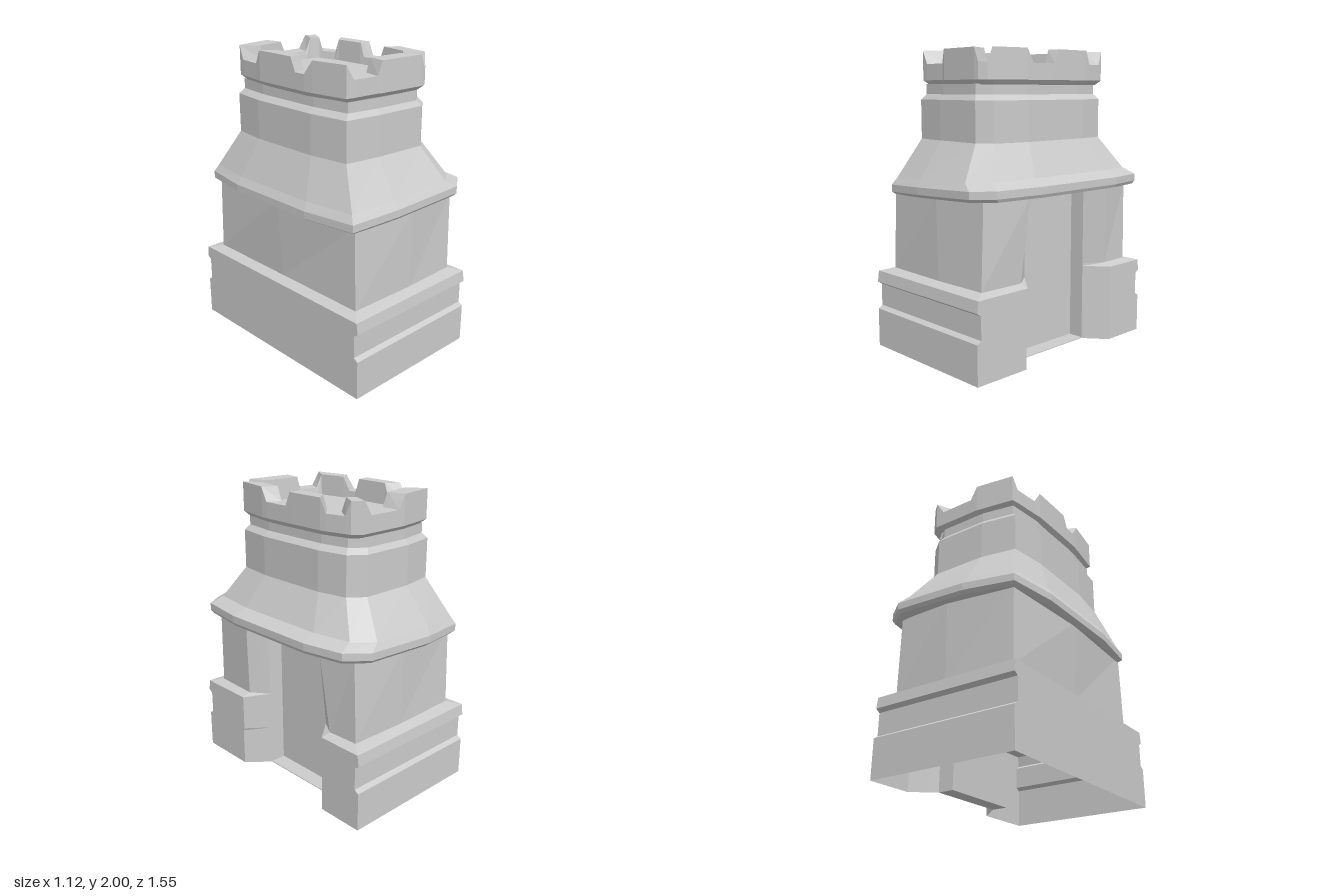
import * as THREE from 'three';

const material = new THREE.MeshStandardMaterial({ color: 0xcccccc, flatShading: true, side: THREE.DoubleSide });

// Skins a stack of closed rings (counterclockwise seen from above), with optional end caps.
function loft(name, rings, { capStart = false, capEnd = false } = {}) {
  const positions = [];
  const tri = (a, b, c) => positions.push(...a, ...b, ...c);
  const n = rings[0].length;
  for (let r = 0; r < rings.length - 1; r++) {
    for (let i = 0; i < n; i++) {
      const j = (i + 1) % n;
      const lo = rings[r], hi = rings[r + 1];
      tri(lo[i], lo[j], hi[j]);
      tri(lo[i], hi[j], hi[i]);
    }
  }
  const cap = (ring, up) => {
    const mid = [0, 1, 2].map(k => ring.reduce((sum, p) => sum + p[k], 0) / n);
    for (let i = 0; i < n; i++) {
      const a = ring[i], b = ring[(i + 1) % n];
      if (up) tri(mid, a, b); else tri(mid, b, a);
    }
  };
  if (capStart) cap(rings[0], false);
  if (capEnd) cap(rings[rings.length - 1], true);
  const geometry = new THREE.BufferGeometry();
  geometry.setAttribute('position', new THREE.Float32BufferAttribute(positions, 3));
  geometry.computeVertexNormals();
  const mesh = new THREE.Mesh(geometry, material);
  mesh.name = name;
  return mesh;
}

// Wall cross-section with a doorway recess in the +x side.
// xl, xr, z: corners; bx, bz: bulge of side middles; xj: outer jamb x; jf, jb: outer jamb z.
function wallRing({ y, xl, xr, z, bx = 0, bz = 0, xj, jf, jb }) {
  return [
    [0.21, -0.33], [0.32, -0.33], [xj, jb], [xr, -z], [0, -z - bz], [-xl, -z], [-xl - bx, 0],
    [-xl, z], [0, z + bz], [xr, z], [xj, jf], [0.32, 0.24], [0.21, 0.24],
  ].map(([x, pz]) => [x, y, pz]);
}

// Rounded-off rectangular outline shared by the skirt roof and the neck.
const outline = [
  [0.9, -0.86], [0.64, -1], [-0.3, -1], [-0.91, -0.92], [-1, -0.48], [-1, 0.42],
  [-0.91, 0.91], [-0.28, 0.97], [0.66, 1], [0.9, 0.87], [1, 0.42], [1, -0.5],
];
function towerRing([y, x0, x1, z0, z1, tilt = 0]) {
  return outline.map(([u, v]) => {
    const x = (x0 + x1) / 2 + u * (x1 - x0) / 2;
    return [x, y + tilt * x, (z0 + z1) / 2 + v * (z1 - z0) / 2];
  });
}

// Parapet outline: x, z, top height.
const H = 2, L = 1.91;
const parapet = [
  [0.30, -0.52, H], [0.24, -0.57, H], [0.18, -0.57, L], [-0.06, -0.57, L], [-0.11, -0.57, H],
  [-0.375, -0.525, H], [-0.385, -0.48, L], [-0.41, -0.31, L], [-0.42, -0.26, H],
  [-0.425, 0.05, H], [-0.425, 0.09, L], [-0.425, 0.17, L], [-0.42, 0.24, H],
  [-0.385, 0.49, H], [-0.33, 0.5, L], [-0.15, 0.515, L], [-0.12, 0.525, H],
  [0.2, 0.55, H], [0.235, 0.548, L], [0.28, 0.515, L], [0.30, 0.49, H],
  [0.345, 0.24, H], [0.348, 0.19, L], [0.35, 0, L], [0.35, -0.04, H],
  [0.347, -0.31, H], [0.34, -0.35, L], [0.31, -0.48, L],
];
function parapetRing(scale, y) {
  return parapet.map(([x, z, top]) => [-0.035 + (x + 0.035) * scale, y ?? top, -0.01 + (z + 0.01) * scale]);
}

export function createModel() {
  const group = new THREE.Group();
  group.name = 'tower';

  // Stepped plinth, open underneath, with a doorway recess
  const plinth = { xl: 0.56, xr: 0.47, xj: 0.47, jf: 0.37, jb: -0.45 };
  const shelf = { y: 0.545, xl: 0.485, xr: 0.4, z: 0.68, bz: 0.01, xj: 0.41, jf: 0.36, jb: -0.46 };
  group.add(loft('plinth', [
    { ...plinth, y: 0, z: 0.775 },
    { ...plinth, y: 0.26, z: 0.775 },
    { ...plinth, y: 0.28, z: 0.745, jf: 0.36 },
    { ...plinth, y: 0.43, z: 0.745, jf: 0.36 },
    { ...plinth, y: 0.45, z: 0.775, jf: 0.36 },
    { ...plinth, y: 0.525, z: 0.765, jf: 0.36 },
    shelf,
  ].map(wallRing)));

  // Main walls
  group.add(loft('walls', [
    shelf,
    { y: 1.085, xl: 0.48, xr: 0.405, z: 0.665, bx: 0.04, bz: 0.035, xj: 0.45, jf: 0.32, jb: -0.41 },
  ].map(wallRing)));

  // Doorway sill
  const sill = new THREE.Mesh(new THREE.BoxGeometry(0.11, 0.006, 0.57), material);
  sill.name = 'doorSill';
  sill.position.set(0.265, 0.003, -0.045);
  group.add(sill);

  // Flared, slightly tilted skirt roof
  group.add(loft('skirtRoof', [
    [1.07, -0.53, 0.55, -0.745, 0.725, 0.05],
    [1.09, -0.56, 0.56, -0.765, 0.745, 0.05],
    [1.138, -0.56, 0.56, -0.765, 0.745, 0.05],
    [1.185, -0.53, 0.465, -0.735, 0.71, 0.045],
    [1.42, -0.43, 0.345, -0.57, 0.555],
  ].map(towerRing), { capStart: true }));

  // Neck with a setback under the parapet
  group.add(loft('neck', [
    [1.42, -0.43, 0.345, -0.57, 0.555],
    [1.68, -0.43, 0.345, -0.57, 0.555],
    [1.715, -0.395, 0.31, -0.545, 0.53],
    [1.78, -0.395, 0.31, -0.545, 0.53],
  ].map(towerRing)));

  // Battlements and roof deck
  group.add(loft('battlements', [
    parapetRing(0.93, 1.775),
    parapetRing(1, 1.805),
    parapetRing(1),
    parapetRing(0.77),
    parapetRing(0.75, 1.86),
  ], { capEnd: true }));

  return group;
}
